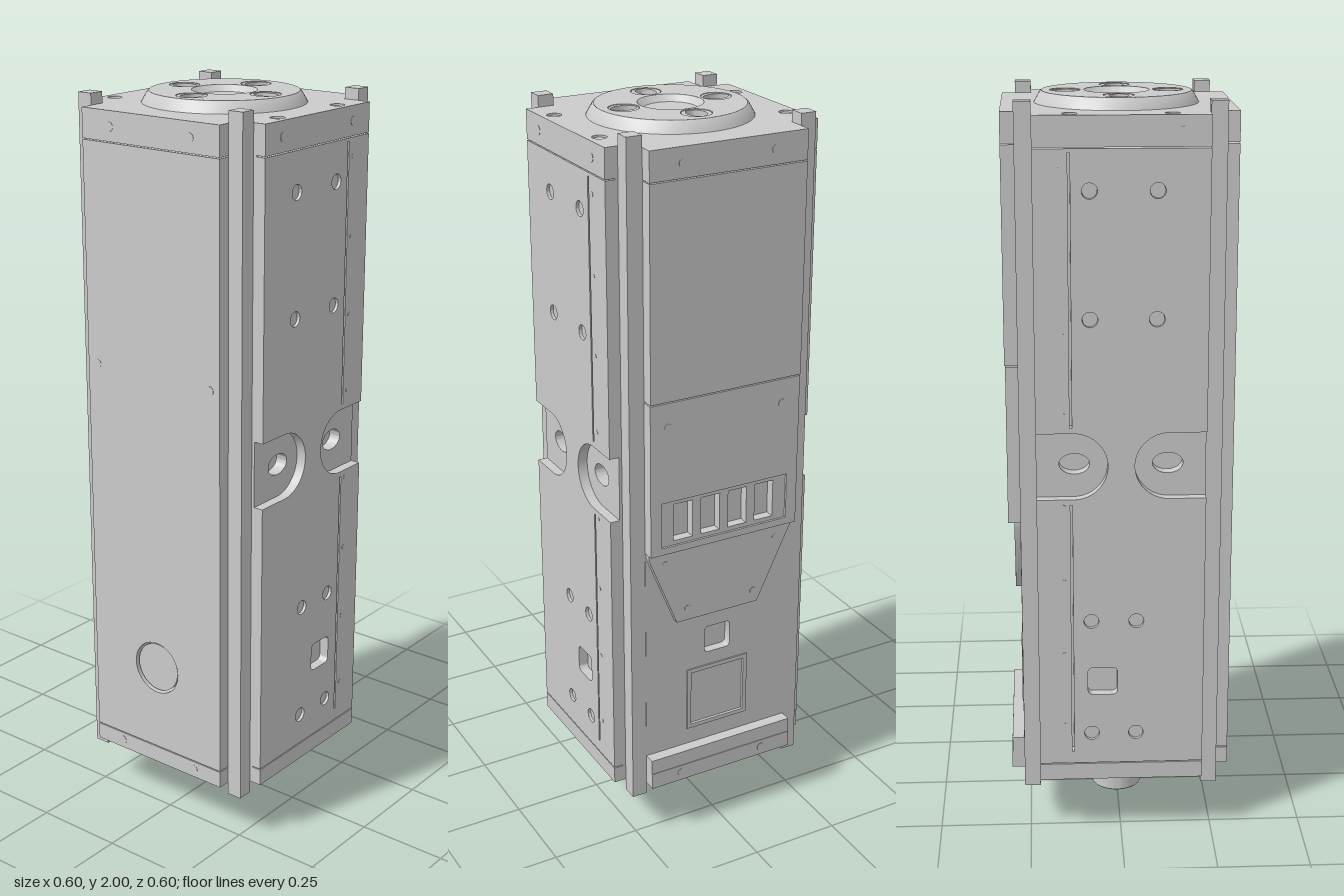
import * as THREE from 'three';
import { toCreasedNormals } from 'three/addons/utils/BufferGeometryUtils.js';

const ARM = 0.222, OUT = 0.3, POST = 0.265;
const FACE = { front: 0, right: Math.PI / 2, back: Math.PI, left: -Math.PI / 2 };

export function createModel() {
  const root = new THREE.Group();
  root.name = 'columnModule';
  const mat = new THREE.MeshStandardMaterial({ color: 0xcccccc });

  const add = (name, geo) => {
    const mesh = new THREE.Mesh(toCreasedNormals(geo, 0.5), mat);
    mesh.name = name;
    root.add(mesh);
    return mesh;
  };
  const box = (name, x0, x1, y0, y1, z0, z1) => add(name,
    new THREE.BoxGeometry(x1 - x0, y1 - y0, z1 - z0)
      .translate((x0 + x1) / 2, (y0 + y1) / 2, (z0 + z1) / 2));
  const lathe = (name, pts) => add(name,
    new THREE.LatheGeometry(pts.map(p => new THREE.Vector2(...p)), 64));

  // Outline helpers
  const poly = pts => new THREE.Shape(pts.map(p => new THREE.Vector2(...p)));
  const rect = (x0, x1, y0, y1) => poly([[x0, y0], [x1, y0], [x1, y1], [x0, y1]]);
  const oval = (x, y, rx, ry = rx) => new THREE.Shape().absellipse(x, y, rx, ry, 0, Math.PI * 2);
  const roundSquare = (x, y, h, r) => {
    const s = new THREE.Shape();
    [[1, 1], [-1, 1], [-1, -1], [1, -1]].forEach(([sx, sy], i) =>
      s.absarc(x + sx * (h - r), y + sy * (h - r), r, i * Math.PI / 2, (i + 1) * Math.PI / 2));
    return s;
  };
  const extrude = (shape, holes, depth) => {
    shape.holes.push(...holes);
    return new THREE.ExtrudeGeometry(shape, { depth, bevelEnabled: false, curveSegments: 20 });
  };
  // Upright sheet on one face, between two distances from the axis
  const sheet = (name, face, shape, holes, d0, d1) =>
    add(name, extrude(shape, holes, d1 - d0).translate(0, 0, d0).rotateY(FACE[face]));
  // Flat slab between two heights
  const slab = (name, shape, holes, y0, y1) =>
    add(name, extrude(shape, holes, y1 - y0).rotateX(-Math.PI / 2).translate(0, y0, 0));
  const screw = (face, u, y, r, d) =>
    add('screw', new THREE.CylinderGeometry(r, r, 0.012, 20).rotateX(Math.PI / 2)
      .translate(u, y, d - 0.006).rotateY(FACE[face]));

  // Core and corner posts
  box('core', -0.24, 0.24, 0.18, 1.92, -0.24, 0.24);
  for (const x of [-1, 1]) for (const z of [-1, 1]) {
    const p = box('cornerPost', -0.0215, 0.0215, 0.13, 2, -0.0215, 0.0215);
    p.position.set(x * (ARM + 0.0215), 0, z * (ARM + 0.0215));
  }

  // Cross-shaped end caps
  const cross = () => poly([[ARM, ARM], [ARM, OUT], [-ARM, OUT], [-ARM, ARM], [-OUT, ARM], [-OUT, -ARM],
    [-ARM, -ARM], [-ARM, -OUT], [ARM, -OUT], [ARM, -ARM], [OUT, -ARM], [OUT, ARM]]);
  const corners = [[-0.127, 0.265], [0.127, 0.265], [-0.127, -0.265], [0.127, -0.265]];
  const capHoles = () => corners.map(([x, z]) => oval(x, z, 0.019));
  slab('topCap', cross(), [oval(0, 0, 0.19), ...capHoles()], 1.892, 1.97);
  slab('bottomCap', cross(), capHoles(), 0.165, 0.212);
  for (const [x, z] of corners) for (const y of [1.955, 0.18])
    add('capScrew', new THREE.CylinderGeometry(0.0185, 0.0185, 0.02, 20).translate(x, y, z));

  // Front and back: plate with half-round pockets over a bored backing sheet
  const pocketEdge = s => {
    const pts = [[s * ARM, 0.98]];
    for (let i = 0; i <= 24; i++) {
      const t = -Math.PI / 2 + i / 24 * Math.PI;
      pts.push([s * (0.125 - 0.09 * Math.cos(t)), 1.07 + 0.09 * Math.sin(t)]);
    }
    return [...pts, [s * ARM, 1.16]];
  };
  const bolts = [[-0.09, 1.785], [0.08, 1.785], [-0.09, 1.46], [0.08, 1.46],
    [-0.04, 0.635], [0.08, 0.635], [-0.04, 0.305], [0.08, 0.305]];
  for (const [face, m] of [['front', 1], ['back', -1]]) {
    sheet('backingSheet', face, rect(-ARM, ARM, 0.2, 1.9),
      [oval(-0.122, 1.07, 0.04, 0.028), oval(0.122, 1.07, 0.04, 0.028)], 0.235, 0.273);
    const outline = [[-ARM, 0.215], [ARM, 0.215], ...pocketEdge(1), [ARM, 1.889],
      [-ARM, 1.889], ...pocketEdge(-1).reverse()];
    const seam = (y0, y1) => rect(m * 0.131 - 0.003, m * 0.131 + 0.003, y0, y1);
    sheet('facePlate', face, poly(outline), [
      ...bolts.map(([x, y]) => oval(m * x, y, 0.02)),
      roundSquare(m * 0.05, 0.46, 0.04, 0.014),
      seam(0.25, 0.965), seam(1.175, 1.88)], 0.272, OUT);
    for (const [x, y] of bolts) screw(face, m * x, y, 0.0195, 0.292);
    for (let i = 0; i < 8; i++) screw(face, m * 0.152, 0.33 + i * 0.21 + (i > 3 ? 0.04 : 0), 0.006, 0.301);
    for (const x of [-0.15, 0.15]) screw(face, x, 1.93, 0.012, 0.301);
  }

  // Left-hand plate with its round cover
  sheet('plainSidePlate', 'left', rect(-ARM, ARM, 0.215, 1.889), [oval(0, 0.46, 0.075)], 0.235, OUT);
  add('roundCover', new THREE.CylinderGeometry(0.069, 0.069, 0.06, 40).rotateZ(Math.PI / 2)
    .translate(-0.264, 0.46, 0));
  for (const u of [-0.19, 0.19]) screw('left', u, 1.3, 0.012, 0.301);
  for (const face of ['left', 'right']) for (const u of [-0.13, 0.13]) {
    screw(face, u, 1.93, 0.012, 0.301);
    screw(face, u, 0.19, 0.012, 0.301);
  }

  // Equipment side: base sheet with socket and framed window
  sheet('sideBase', 'right', rect(-ARM, ARM, 0.2, 1.9),
    [roundSquare(0, 0.575, 0.04, 0.012), rect(-0.095, 0.095, 0.305, 0.495)], 0.235, 0.266);
  sheet('windowFrame', 'right', rect(-0.095, 0.095, 0.305, 0.495), [rect(-0.083, 0.083, 0.317, 0.483)], 0.235, 0.27);
  sheet('windowPane', 'right', rect(-0.083, 0.083, 0.317, 0.483), [], 0.235, 0.262);
  box('bottomRail', 0.25, OUT - 0.002, 0.21, 0.255, -ARM, ARM);
  box('upperPanel', 0.25, OUT, 1.322, 1.889, -ARM, ARM);

  // Vented panel with slots, and the tapered cover below it
  sheet('ventPanel', 'right', rect(-ARM, ARM, 0.89, 1.318), [rect(-0.19, 0.19, 0.91, 1.04)], 0.25, 0.298);
  const slots = [-0.123, -0.041, 0.041, 0.123].map(u => rect(u - 0.028, u + 0.028, 0.922, 1.028));
  sheet('ventGrille', 'right', rect(-0.19, 0.19, 0.91, 1.04), slots, 0.25, 0.292);
  sheet('taperedCover', 'right', poly([[-0.135, 0.665], [0.115, 0.665], [0.215, 0.875], [0.215, 0.89],
    [-0.22, 0.89], [-0.22, 0.875]]), [], 0.25, 0.282);
  for (const u of [-0.17, 0.17]) {
    screw('right', u, 1.25, 0.012, 0.299);
    screw('right', u, 0.85, 0.01, 0.283);
    screw('right', u * 0.6, 0.7, 0.01, 0.283);
  }

  // Raised top coupling with four dished ports and a centre recess
  const ports = [0, 1, 2, 3].map(i => {
    const a = i * Math.PI / 2;
    return { x: 0.133 * Math.cos(a), z: 0.133 * Math.sin(a), along: i % 2 === 0 };
  });
  slab('topDisc', oval(0, 0, 0.195), [oval(0, 0, 0.085), ...ports.map(p => oval(p.x, p.z, 0.04))], 1.92, 2);
  for (const p of ports) slab('portInsert', oval(p.x, p.z, 0.0385),
    [oval(p.x, p.z, p.along ? 0.035 : 0.025, p.along ? 0.025 : 0.035)], 1.92, 1.999);
  lathe('topRim', [[0.215, 1.969], [0.212, 1.975], [0.199, 1.997], [0.195, 2]]);
  lathe('centreRecess', [[0.085, 2], [0.068, 1.984], [0, 1.984]]);

  // Stepped bottom hub with lugs
  lathe('bottomHub', [[0, 0], [0.067, 0], [0.07, 0.003], [0.07, 0.056], [0.083, 0.056], [0.087, 0.06],
    [0.087, 0.125], [0.115, 0.125], [0.115, 0.142], [0.19, 0.142], [0.215, 0.157], [0.215, 0.17]]);
  for (const p of ports)
    add('hubLug', new THREE.CylinderGeometry(0.033, 0.033, 0.02, 24).translate(p.x * 1.15, 0.143, p.z * 1.15));

  return root;
}
